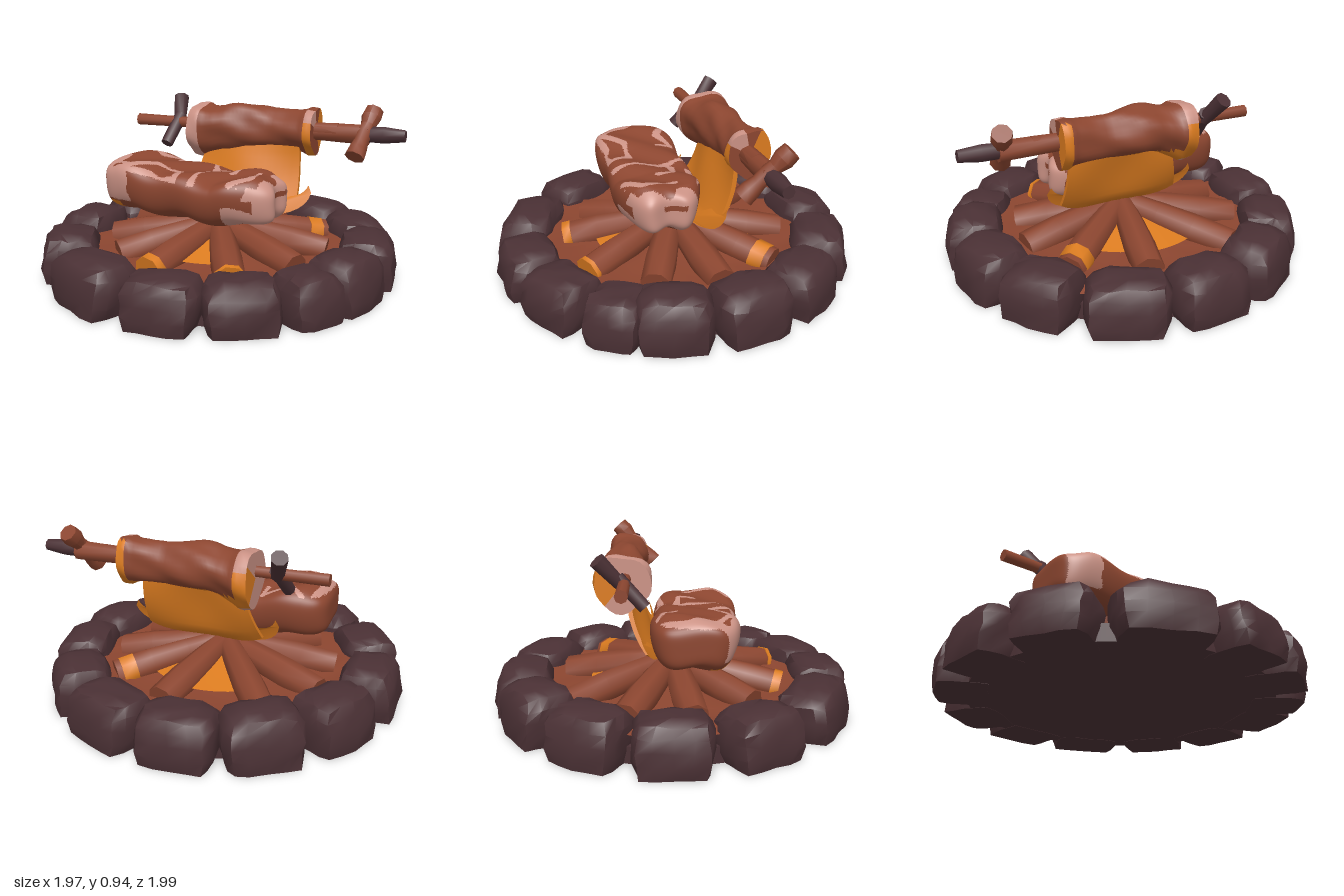
import * as THREE from 'three';
import { mergeVertices, toCreasedNormals } from 'three/addons/utils/BufferGeometryUtils.js';

const { lerp, clamp, smoothstep } = THREE.MathUtils;
const V = (x, y, z) => new THREE.Vector3(x, y, z);
const profile = (list) => list.map((p) => new THREE.Vector2(...p));

const mat = (name, color, side = THREE.FrontSide) => {
  const m = new THREE.MeshStandardMaterial({ color, side });
  m.name = name;
  return m;
};

function seeded(seed) {
  return () => (seed = (seed * 16807) % 2147483647) / 2147483647;
}

// Move every vertex of a geometry by a rule
function warp(geo, rule) {
  const p = geo.attributes.position, v = V(0, 0, 0);
  for (let i = 0; i < p.count; i++) {
    rule(v.fromBufferAttribute(p, i));
    p.setXYZ(i, v.x, v.y, v.z);
  }
  geo.computeVertexNormals();
  return geo;
}

// Unit block (-1..1) with rounded edges and shared vertices; a high n is boxier
function block(nx, ny, nz, n) {
  const geo = new THREE.BoxGeometry(2, 2, 2, nx, ny, nz);
  geo.deleteAttribute('normal');
  geo.deleteAttribute('uv');
  return warp(mergeVertices(geo, 1e-4), (v) => {
    const [a, b, c] = [v.x, v.y, v.z].map(Math.abs);
    v.multiplyScalar(Math.max(a, b, c) / Math.pow(a ** n + b ** n + c ** n, 1 / n));
  });
}

// Sort the triangles into material groups: rule(centre) gives a material number
function paint(geo, count, rule) {
  const p = geo.attributes.position, idx = geo.index.array;
  const lists = Array.from({ length: count }, () => []);
  for (let i = 0; i < idx.length; i += 3) {
    const tri = [idx[i], idx[i + 1], idx[i + 2]], c = V(0, 0, 0);
    tri.forEach((k) => c.add(V(p.getX(k), p.getY(k), p.getZ(k))));
    lists[rule(c.divideScalar(3))].push(...tri);
  }
  geo.setIndex(lists.flat());
  geo.clearGroups();
  let start = 0;
  lists.forEach((l, i) => {
    geo.addGroup(start, l.length, i);
    start += l.length;
  });
  return geo;
}

// Round bar from a to b, with radii spaced evenly along it
function bar(a, b, radii, sides = 8) {
  const len = a.distanceTo(b), last = radii.length - 1;
  const pts = profile([[0, 0], ...radii.map((r, i) => [r, (len * i) / last]), [0, len]]);
  const geo = toCreasedNormals(new THREE.LatheGeometry(pts, sides), 0.85);
  geo.applyQuaternion(new THREE.Quaternion().setFromUnitVectors(V(0, 1, 0), b.clone().sub(a).normalize()));
  return geo.translate(a.x, a.y, a.z);
}

// Linear lookup in a list of [position, value] pairs
function along(table, x) {
  const i = clamp(table.findIndex(([p]) => x <= p), 1, table.length - 1);
  const [x0, y0] = table[i - 1], [x1, y1] = table[i];
  return lerp(y0, y1, clamp((x - x0) / (x1 - x0), 0, 1));
}

// Distance from (x, z) to a polyline
function distTo(line, x, z) {
  return Math.min(...line.slice(1).map(([bx, bz], i) => {
    const [ax, az] = line[i], dx = bx - ax, dz = bz - az;
    const t = clamp(((x - ax) * dx + (z - az) * dz) / (dx * dx + dz * dz), 0, 1);
    return Math.hypot(x - ax - t * dx, z - az - t * dz);
  }));
}

export function createModel() {
  const model = new THREE.Group();
  const stone = mat('dark stone', 0x4b3135);
  const wood = mat('reddish brown', 0x8c4630);
  const fat = mat('pale fat', 0xcb9285);
  const glow = mat('glowing orange', 0xdc7c20, THREE.DoubleSide);
  const add = (name, geo, material, parent = model) => {
    const mesh = new THREE.Mesh(geo, material);
    mesh.name = name;
    parent.add(mesh);
  };
  const group = (name) => {
    const g = new THREE.Group();
    g.name = name;
    model.add(g);
    return g;
  };
  const rnd = seeded(77);

  // Ring of rough stones: x, z, length along the ring, height
  const ring = group('stoneRing');
  [[-0.08, -0.84, 0.39, 0.27], [0.33, -0.78, 0.42, 0.26], [0.67, -0.52, 0.38, 0.26], [0.83, -0.17, 0.39, 0.27],
    [0.85, 0.23, 0.38, 0.27], [0.73, 0.50, 0.30, 0.24], [0.46, 0.74, 0.37, 0.25], [0.09, 0.84, 0.38, 0.25],
    [-0.35, 0.76, 0.47, 0.26], [-0.68, 0.42, 0.40, 0.26], [-0.84, 0.02, 0.39, 0.27], [-0.80, -0.42, 0.39, 0.27],
    [-0.50, -0.76, 0.40, 0.28]].forEach(([x, z, len, h]) => {
    const geo = warp(block(4, 4, 4, 5), (v) => {
      const inset = v.y > 0.7 ? 0.95 : 1;
      const lean = v.z > 0 ? 0.018 * (v.y + 1) : 0;
      v.x = (v.x * inset * len) / 2 + (rnd() - 0.5) * 0.018;
      v.z = (v.z * inset * 0.32) / 2 - lean + (rnd() - 0.5) * 0.018;
      v.y = v.y < -0.7 ? 0 : ((v.y + 1) * h) / 2 + (rnd() - 0.5) * 0.018;
    });
    const a = Math.atan2(x, z);
    geo.rotateY(a).translate(Math.sin(a) * 0.835, 0, Math.cos(a) * 0.835);
    add('stone', toCreasedNormals(geo, 0.85), stone, ring);
  });

  // Bumpy ash bed and the dark underside
  const bed = profile([[0.82, 0.15], [0.74, 0.17], [0.66, 0.16], [0.56, 0.15], [0.46, 0.155], [0.25, 0.17], [0, 0.2]]);
  add('ashBed', warp(new THREE.LatheGeometry(bed, 36), (v) => {
    v.y += 0.014 * Math.sin(v.x * 23) * Math.cos(v.z * 19);
  }), wood);
  add('underside', new THREE.CylinderGeometry(0.82, 0.82, 0.09, 32).translate(0, 0.047, 0), stone);

  // Glowing embers under the logs, in front and behind
  const emberLine = profile([[0.52, 0.175], [0.3, 0.215], [0.02, 0.28]]);
  [[-0.5, 0.85, 0.84], [Math.PI - 0.75, 0.5, 0.84], [Math.PI - 0.2, 0.8, 0.88]].forEach(([start, sweep, s]) =>
    add('embers', new THREE.LatheGeometry(emberLine, 8, start, sweep).scale(s, 1, s), glow));

  // Logs leaning into the middle: end x, end z, and where a burning band begins and ends along it
  const logs = group('logs');
  [[0.12, -0.6], [-0.4, -0.53], [-0.6, -0.22], [0.6, -0.09], [0.54, 0.24], [0.31, 0.54, 0.97, 1.01],
    [-0.12, 0.59, 0.93, 1.01], [-0.4, 0.42], [0.48, -0.42, 0.82, 0.95], [-0.6, 0.12]].forEach(([x, z, from, to]) => {
    const top = V(x * 0.05, 0.27, z * 0.05), end = V(x, 0.155, z);
    add('log', bar(top, end, [0.06, 0.075, 0.085, 0.082]), wood, logs);
    if (from) add('burningBand', bar(top.clone().lerp(end, from), top.clone().lerp(end, to), [0.088, 0.086]), glow, logs);
  });

  // Curved sheet of flame licking up at the roast, with a curled tip on each side
  const flame = group('flame');
  const flameZ = (y) => -0.06 - 0.165 * clamp((y - 0.315) / 0.375, 0, 1) ** 0.5;
  add('flameSheet', toCreasedNormals(warp(new THREE.BoxGeometry(2, 1, 2, 16, 10, 1), (v) => {
    const u = v.x, t = v.y + 0.5, thick = v.z * 0.012;
    v.x = u > 0 ? 0.08 + u * lerp(0.33, 0.31, t) : 0.08 + u * lerp(0.34, 0.25, t);
    v.y = lerp(0.315 + 0.06 * u ** 4, 0.7, t);
    v.z = flameZ(v.y) + thick + 0.02 * Math.cos(u * 3) * Math.sin(t * 3);
  }), 0.8), glow, flame);
  const tip = new THREE.Shape();
  tip.moveTo(0.12, 0.315).quadraticCurveTo(0.47, 0.32, 0.49, 0.46).lineTo(0.47, 0.5).quadraticCurveTo(0.44, 0.42, 0.3, 0.43);
  [[1, 0], [-0.85, 0.06]].forEach(([s, shift]) => add('flameTip', warp(new THREE.ShapeGeometry(tip, 8), (v) => {
    v.x = v.x * s + shift;
    v.z = flameZ(v.y) + 0.016;
  }), glow, flame));

  // Spit with its two cross pegs
  const spit = group('spit');
  add('spitRod', bar(V(-0.64, 0.785, -0.23), V(0.6, 0.79, -0.26), [0.034, 0.03, 0.035, 0.05]), wood, spit);
  add('spitSleeve', bar(V(0.42, 0.787, -0.26), V(0.77, 0.787, -0.26), [0.048, 0.055]), wood, spit);
  add('spitTip', bar(V(0.74, 0.79, -0.26), V(0.965, 0.795, -0.26), [0.042, 0.045, 0.032]), stone, spit);
  add('rightPeg', bar(V(0.725, 0.685, -0.14), V(0.77, 0.91, -0.355), [0.055, 0.05, 0.04, 0.045, 0.04, 0.055, 0.05]), wood, spit);
  add('leftPegTop', bar(V(-0.375, 0.78, -0.25), V(-0.42, 0.915, -0.365), [0.035, 0.045]), stone, spit);
  add('leftPegBottom', bar(V(-0.375, 0.82, -0.27), V(-0.40, 0.67, -0.13), [0.038, 0.035]), stone, spit);

  // Roast on the spit, with a fatty end and scorched rims
  const girth = [[-0.26, 0.15], [-0.2, 0.158], [-0.16, 0.138], [-0.08, 0.125], [0.03, 0.13], [0.12, 0.122],
    [0.22, 0.106], [0.3, 0.108], [0.4, 0.12], [0.42, 0.132], [0.47, 0.128]];
  const roast = warp(new THREE.CylinderGeometry(1, 1, 0.73, 28, 32).rotateZ(-Math.PI / 2).translate(0.105, 0, 0), (v) => {
    const a = Math.atan2(v.z, v.y), slim = smoothstep(v.x, -0.1, 0.1);
    const r = along(girth, v.x) * (1 + 0.06 * Math.sin(3 * a + v.x * 9) + 0.04 * Math.sin(5 * a - v.x * 18));
    v.y = 0.785 + v.y * r - 0.03 * smoothstep(-v.x, 0, 0.2);
    v.z = -0.257 - 0.016 * slim + v.z * r * (1 - 0.12 * slim);
  });
  paint(roast, 3, (c) => {
    const low = c.y - 0.775 < 0.3 * (c.z + 0.262) - 0.02 || c.z < -0.34;
    if (c.x > 0.465) return c.z < -0.3 ? 2 : c.z > -0.25 && c.y > 0.82 ? 1 : 0;
    if (c.x > 0.4244) return low || c.y < 0.84 ? 2 : c.z > -0.25 ? 1 : 0;
    if (c.x < -0.1917) return c.z < -0.32 && c.y < 0.82 ? 2 : 1;
    return c.y < 0.675 && c.z < -0.25 ? 2 : 0;
  });
  add('roast', toCreasedNormals(roast, 0.7), [wood, fat, glow]);

  // Thick steak with fat around the edge and marbling on top
  const topLine = [[-0.58, 0.645], [-0.45, 0.65], [-0.2, 0.61], [0.1, 0.58], [0.3, 0.61], [0.4, 0.59]];
  const bottomLine = [[-0.58, 0.37], [-0.3, 0.355], [0.1, 0.335], [0.4, 0.345]];
  const steak = warp(block(96, 26, 52, 5), (v) => {
    const end = smoothstep(v.x, 0.5, 1), side = v.z, x = -0.09 + v.x * 0.49;
    const bulge = 1.03 + 0.03 * Math.sin(x * 13) - 0.12 * end - 0.17 * (v.y - 0.3) ** 2;
    v.y = lerp(along(bottomLine, x), along(topLine, x), (v.y + 1) / 2) + 0.01 * Math.sin(x * 21 + side * 4);
    v.z = 0.123 + side * 0.221 * bulge;
    v.x = x - 0.015 * Math.cos(side * 6) * end;
  });
  const veins = [
    [[-0.05, -0.09], [0.02, 0.08], [-0.02, 0.19], [-0.02, 0.32]],
    [[-0.52, 0.22], [-0.4, 0.31], [-0.27, 0.21], [-0.13, 0.21], [-0.11, 0.32]],
    [[0.04, 0.02], [0.14, 0.03], [0.13, 0.11]],
    [[0.27, 0.06], [0.29, 0.24], [0.2, 0.31]],
    [[-0.45, -0.07], [-0.34, 0], [-0.23, -0.06], [-0.24, 0.02]],
  ];
  paint(steak, 3, (c) => {
    const wobble = 0.02 * Math.sin(c.x * 31 + c.z * 23) + 0.01 * Math.sin(c.y * 60);
    if (c.x > 0.35 + wobble) return Math.abs(c.y - 0.5) < 0.014 && Math.abs(c.z - 0.09) < 0.06 ? 0 : 1;
    if (c.y > along(topLine, c.x) - 0.04) {
      const front = (c.x < -0.1 || c.x > 0.24) && c.z > 0.31 + wobble * 0.5;
      const edge = (c.x > 0.05 && c.z < -0.065 + wobble * 0.5) || front || c.x < -0.5 + wobble;
      return edge || veins.some((l) => distTo(l, c.x, c.z) < 0.018 + wobble * 0.25) ? 1 : 0;
    }
    if (c.z > 0.2) {
      if (c.x < -0.46 && c.x > -0.53 && c.y < 0.42) return 2;
      if (c.x > -0.555 && c.x < -0.4 + wobble && c.y > 0.43) return 1;
      if ((c.x > 0.28 + wobble && c.y > 0.5) || (c.x > 0.16 && c.y < 0.44 + wobble) || c.x > 0.32) return 1;
    }
    return 0;
  });
  add('steak', steak, [wood, fat, glow]);

  return model;
}
